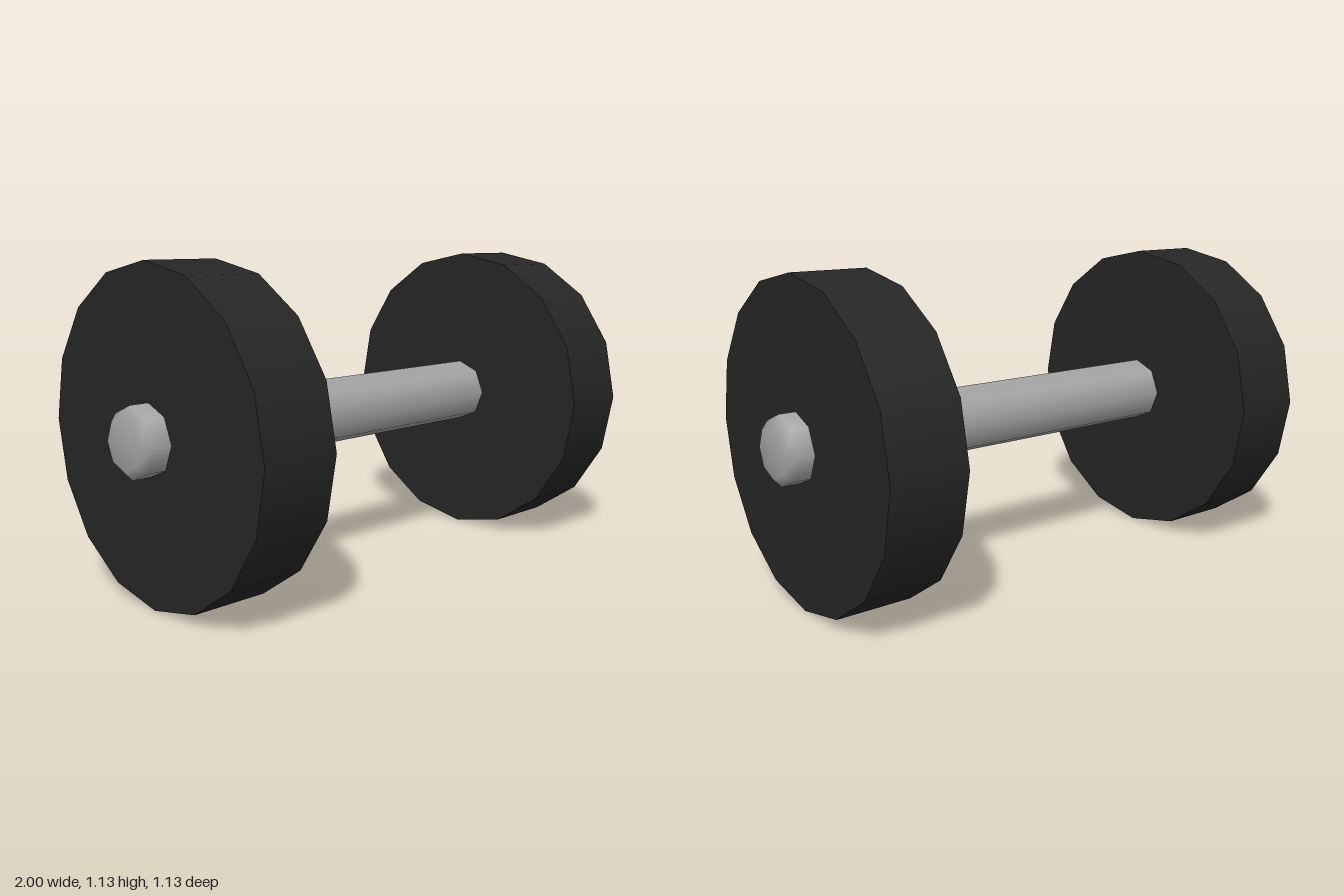
import * as THREE from 'three';

export function createModel() {
  const group = new THREE.Group();
  const rubber = new THREE.MeshStandardMaterial({ color: 0x262626 });
  rubber.name = 'black rubber';
  const metal = new THREE.MeshStandardMaterial({ color: 0xa4a4a4 });
  metal.name = 'grey metal';
  const centreY = 0.563;

  // Eight-sided bar with chamfered ends, smooth shaded
  const profile = [
    [0, -1], [0.09, -1], [0.12, -0.97], [0.12, -0.89],
    [0.12, 0.89], [0.12, 0.97], [0.09, 1], [0, 1],
  ].map(([r, y]) => new THREE.Vector2(r, y));
  const barGeometry = new THREE.LatheGeometry(profile, 8);
  barGeometry.rotateZ(-Math.PI / 2);
  const bar = new THREE.Mesh(barGeometry, metal);
  bar.name = 'bar';
  bar.position.y = centreY;
  group.add(bar);

  // Sixteen-sided weight plates
  const plateGeometry = new THREE.CylinderGeometry(0.563, 0.563, 0.277, 16);
  plateGeometry.rotateZ(-Math.PI / 2);
  for (const [name, x] of [['rightPlate', -0.766], ['leftPlate', 0.772]]) {
    const plate = new THREE.Mesh(plateGeometry, rubber);
    plate.name = name;
    plate.position.set(x, centreY, 0);
    group.add(plate);
  }
  return group;
}
